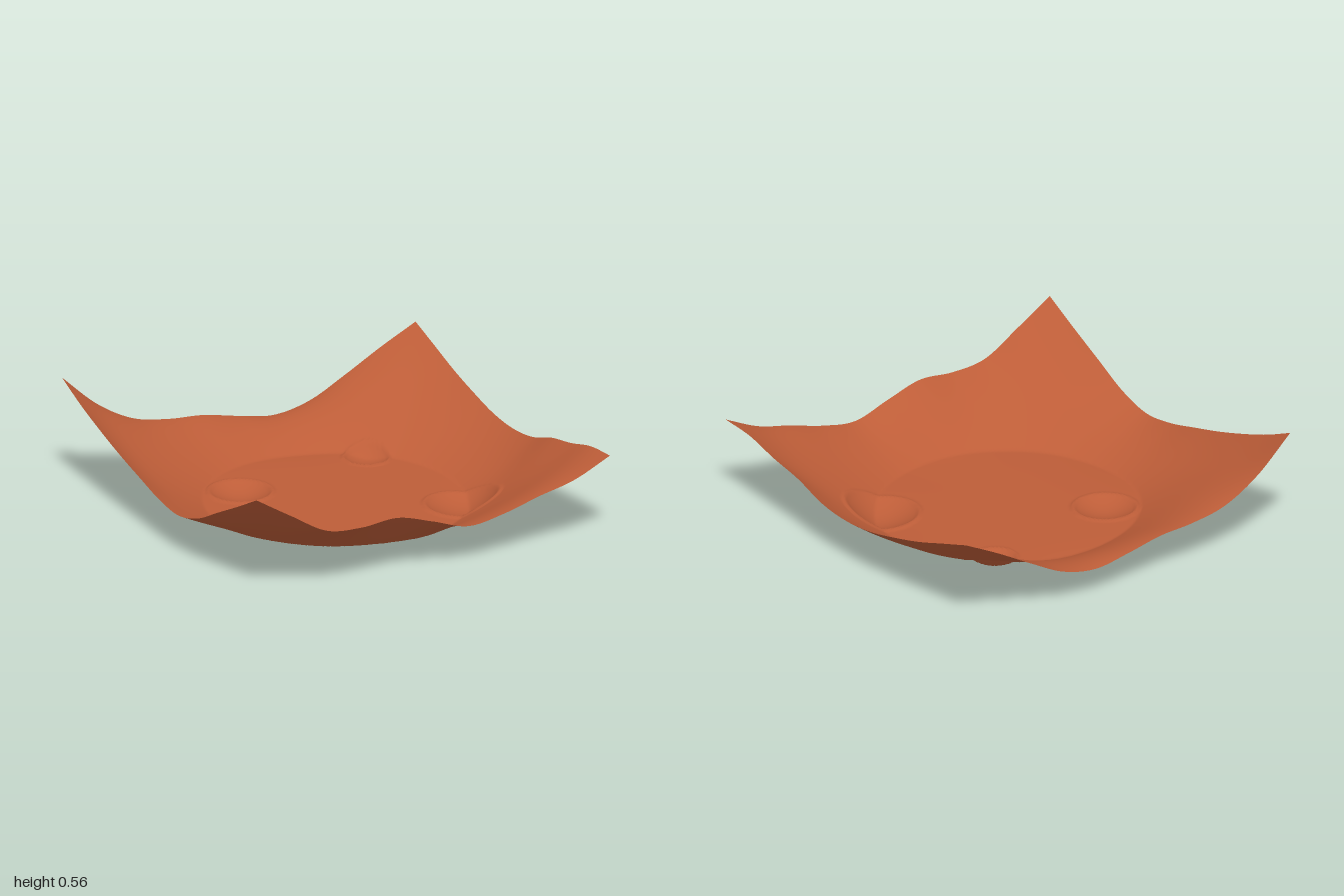
import * as THREE from 'three';

// Heights along the four borders, sampled every 0.2 from -1 to 1
const EDGES = {
  front: [0.55, 0.43, 0.318, 0.3, 0.315, 0.26, 0.2, 0.23, 0.287, 0.338, 0.43],
  back: [0.55, 0.375, 0.265, 0.225, 0.21, 0.17, 0.14, 0.18, 0.28, 0.39, 0.49],
  left: [0.49, 0.425, 0.36, 0.308, 0.265, 0.25, 0.27, 0.33, 0.367, 0.415, 0.43],
  right: [0.55, 0.465, 0.395, 0.333, 0.28, 0.23, 0.21, 0.26, 0.355, 0.45, 0.55],
};

// Small craters: centre, bowl radius, width of the raised lip, depth
const CRATERS = [
  { x: -0.37, z: -0.31, radius: 0.145, lip: 0.03, depth: 0.04 },
  { x: 0.42, z: -0.45, radius: 0.105, lip: 0.022, depth: 0.026 },
  { x: 0.53, z: 0.33, radius: 0.17, lip: 0.033, depth: 0.042 },
];

const BASIN_RADIUS = 0.66;
const SLOPE = 0.6;
const SEGMENTS = 150;
const { lerp } = THREE.MathUtils;

// Straight slopes around the basin
const rise = (x, z) => SLOPE * Math.max(0, Math.hypot(x, z) - BASIN_RADIUS);

// Smooth curve through the border samples, less the basin slope
function edgeRelief(samples, u) {
  const s = (u + 1) * 5;
  const i = Math.min(Math.floor(s), 9);
  const f = s - i;
  const [b, c] = [samples[i], samples[i + 1]];
  const a = samples[i - 1] ?? 2 * b - c;
  const d = samples[i + 2] ?? 2 * c - b;
  const y = b + 0.5 * f * (c - a + f * (2 * a - 5 * b + 4 * c - d + f * (3 * (b - c) + d - a)));
  return y - rise(u, 1);
}

// Patch that spans the four border curves
function borderRelief(x, z) {
  const u = (x + 1) / 2;
  const v = (z + 1) / 2;
  const { front, back, left, right } = EDGES;
  const alongZ = lerp(edgeRelief(back, x), edgeRelief(front, x), v);
  const alongX = lerp(edgeRelief(right, z), edgeRelief(left, z), u);
  const corners = lerp(
    lerp(edgeRelief(back, -1), edgeRelief(back, 1), u),
    lerp(edgeRelief(front, -1), edgeRelief(front, 1), u),
    v,
  );
  return alongZ + alongX - corners;
}

// Gently tilted basin floor with a shallow dip at the front left
function floorHeight(x, z) {
  const dip = 0.02 * Math.exp(-((x - 0.75) ** 2 + (z - 0.3) ** 2) / 0.06);
  return 0.053 - 0.01 * x - 0.015 * z - dip;
}

function terrainHeight(x, z) {
  const nearBorder = 1 - (1 - Math.abs(x) ** 5) * (1 - Math.abs(z) ** 5);
  let y = rise(x, z) + lerp(floorHeight(x, z), borderRelief(x, z), nearBorder);

  // Bowls with a raised lip
  for (const c of CRATERS) {
    const d = Math.hypot(x - c.x, z - c.z);
    if (d < c.radius) {
      y -= c.depth * (1 - (d / c.radius) ** 2);
    } else if (d < c.radius + c.lip) {
      y += 0.01 * Math.sin((Math.PI * (d - c.radius)) / c.lip);
    }
  }
  return y;
}

export function createModel() {
  const group = new THREE.Group();
  group.name = 'crateredTerrain';

  const soil = new THREE.MeshStandardMaterial({ color: 0xbd5d38, side: THREE.DoubleSide });
  soil.name = 'rusty soil';

  // Ground sheet
  const geometry = new THREE.PlaneGeometry(2, 2, SEGMENTS, SEGMENTS).rotateX(-Math.PI / 2);
  const position = geometry.attributes.position;
  for (let i = 0; i < position.count; i++) {
    position.setY(i, terrainHeight(position.getX(i), position.getZ(i)));
  }
  geometry.computeVertexNormals();

  const ground = new THREE.Mesh(geometry, soil);
  ground.name = 'ground';
  group.add(ground);
  return group;
}
